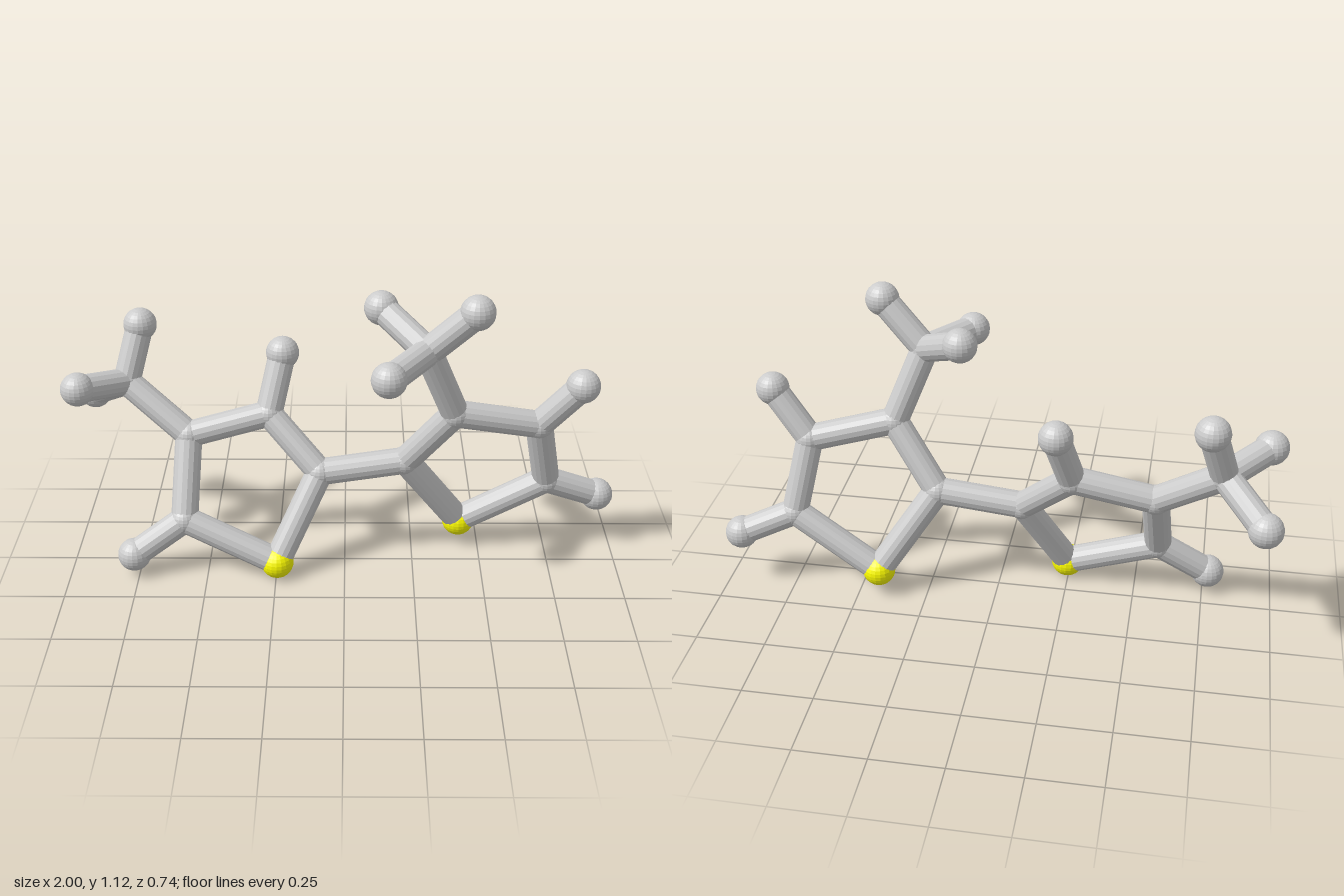
import * as THREE from 'three';

const BALL = 0.06, JOINT = 0.053, ROD = 0.049;

// Ball positions: [x, y, z]
const nodes = {
  // right-hand ring (-x) with its side branches
  sulfurA: [-0.245, 0.06, 0.11],
  ringA2: [-0.09, 0.365, -0.015],
  ringA3: [-0.275, 0.55, -0.115],
  ringA4: [-0.565, 0.48, -0.085],
  ringA5: [-0.58, 0.205, 0.055],
  tipA3: [-0.225, 0.755, -0.197],
  tipA5: [-0.765, 0.08, 0.095],
  methylA: [-0.79, 0.65, -0.172],
  methylTipA1: [-0.738, 0.845, -0.242],
  methylTipA2: [-0.94, 0.69, -0.025],
  methylTipA3: [-0.935, 0.54, -0.31],
  // left-hand ring (+x) with its side branches
  sulfurB: [0.425, 0.1, -0.123],
  ringB2: [0.218, 0.405, -0.03],
  ringB3: [0.385, 0.635, 0.045],
  ringB4: [0.688, 0.565, -0.008],
  ringB5: [0.74, 0.295, -0.087],
  tipB4: [0.825, 0.735, 0.03],
  tipB5: [0.938, 0.21, -0.126],
  methylB: [0.28, 0.9, 0.107],
  methylTipB1: [0.437, 1.06, 0.148],
  methylTipB2: [0.125, 0.995, -0.045],
  methylTipB3: [0.145, 0.893, 0.31],
};

// Rods shared by both halves, as pairs of node names without the half's letter
const ringOrder = ['sulfur#', 'ring#2', 'ring#3', 'ring#4', 'ring#5'];
const rods = [['ringA2', 'ringB2'], ['ringA3', 'tipA3'], ['ringA4', 'methylA'],
  ['ringB3', 'methylB'], ['ringB4', 'tipB4']];
for (const half of ['A', 'B']) {
  const n = (s) => s.replace('#', half);
  ringOrder.forEach((s, i) => rods.push([n(s), n(ringOrder[(i + 1) % 5])]));
  rods.push([n('ring#5'), n('tip#5')]);
  for (let k = 1; k <= 3; k++) rods.push([n('methyl#'), n('methylTip#' + k)]);
}

export function createModel() {
  const model = new THREE.Group();
  model.name = 'molecule';
  const grey = new THREE.MeshStandardMaterial({ color: 0xcccccc, flatShading: true });
  const yellow = new THREE.MeshStandardMaterial({ color: 0xffff00, flatShading: true });
  const ball = new THREE.SphereGeometry(BALL, 20, 14);
  const joint = new THREE.SphereGeometry(JOINT, 20, 14);
  const up = new THREE.Vector3(0, 1, 0);

  // Balls: full size at free tips and sulfurs, nearly flush where rods meet
  for (const [name, p] of Object.entries(nodes)) {
    const sulfur = name.startsWith('sulfur');
    const big = sulfur || /tip/i.test(name);
    const mesh = new THREE.Mesh(big ? ball : joint, sulfur ? yellow : grey);
    mesh.name = name;
    mesh.position.set(...p);
    model.add(mesh);
  }

  // Rods running from ball centre to ball centre
  for (const [from, to] of rods) {
    const a = new THREE.Vector3(...nodes[from]);
    const b = new THREE.Vector3(...nodes[to]);
    const dir = b.clone().sub(a);
    const mesh = new THREE.Mesh(new THREE.CylinderGeometry(ROD, ROD, dir.length(), 16), grey);
    mesh.name = `rod ${from} to ${to}`;
    mesh.position.copy(a).add(b).multiplyScalar(0.5);
    mesh.quaternion.setFromUnitVectors(up, dir.normalize());
    model.add(mesh);
  }
  return model;
}
